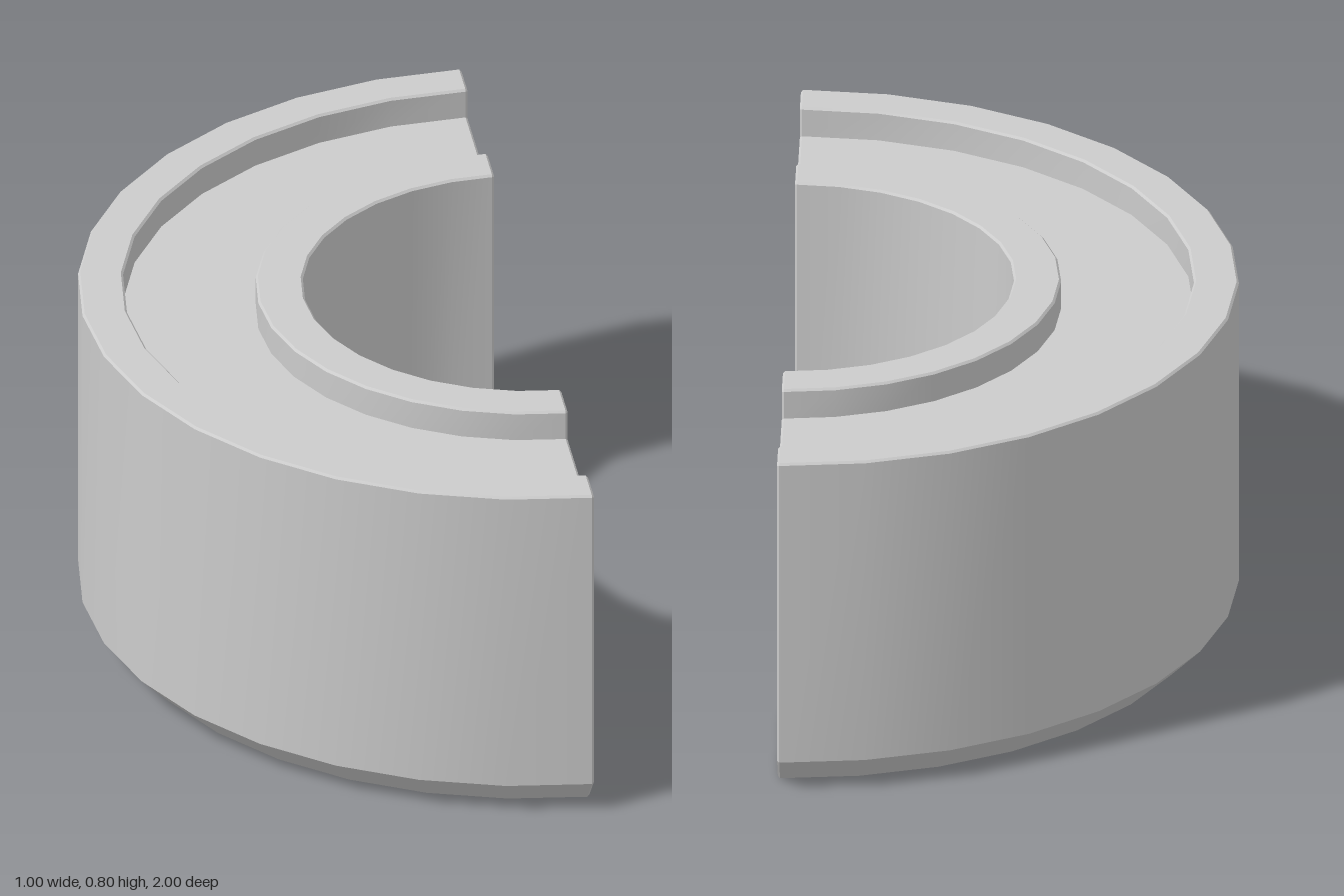
import * as THREE from 'three';
import { toCreasedNormals } from 'three/addons/utils/BufferGeometryUtils.js';

const BEVEL = 0.005, CHAMFER = 0.07, HEIGHT = 0.8, FLOOR = 0.73, STEPS = 16, CENTRE = 0.5;

// Ring cross-section as [radius, y], counter-clockwise
function ringProfile() {
  const rim = (inner, outer) => [
    [outer, HEIGHT - BEVEL], [outer - BEVEL, HEIGHT],
    [inner + BEVEL, HEIGHT], [inner, HEIGHT - BEVEL],
  ];
  return [
    [0.5 + CHAMFER, 0], [1 - CHAMFER, 0], [1, CHAMFER],
    ...rim(0.9, 1), [0.9, FLOOR], [0.605, FLOOR], ...rim(0.5, 0.605),
    [0.5, CHAMFER],
  ].map(([r, y]) => new THREE.Vector2(r, y));
}

// Move every edge of a counter-clockwise outline inwards by d
function inset(points, d) {
  const n = points.length;
  const normal = (a, b) => new THREE.Vector2(a.y - b.y, b.x - a.x).normalize();
  return points.map((p, i) => {
    const n1 = normal(points[(i + n - 1) % n], p);
    const n2 = normal(p, points[(i + 1) % n]);
    return n1.clone().add(n2).multiplyScalar(d / (1 + n1.dot(n2))).add(p);
  });
}

function halfRingGeometry() {
  const profile = ringProfile(), small = inset(profile, BEVEL), n = profile.length;
  const positions = [], index = [];

  // Cross-sections: bevelled cut end, half-turn sweep, bevelled cut end
  const flat = (pts, x, side) => pts.forEach(p => positions.push(x, p.y, side * p.x));
  flat(small, CENTRE, 1);
  flat(profile, CENTRE - BEVEL, 1);
  for (let k = 1; k < STEPS; k++) {
    const a = Math.PI * k / STEPS;
    profile.forEach(p => positions.push(CENTRE - p.x * Math.sin(a), p.y, p.x * Math.cos(a)));
  }
  flat(profile, CENTRE - BEVEL, -1);
  flat(small, CENTRE, -1);

  // Skin between neighbouring sections
  const last = STEPS + 2;
  for (let s = 0; s < last; s++) {
    for (let i = 0; i < n; i++) {
      const j = (i + 1) % n, a = s * n + i, b = s * n + j;
      index.push(a, b, a + n, b, b + n, a + n);
    }
  }

  // Flat cut faces
  for (const [a, b, c] of THREE.ShapeUtils.triangulateShape(small, [])) {
    index.push(a, c, b, last * n + a, last * n + b, last * n + c);
  }

  const geometry = new THREE.BufferGeometry();
  geometry.setAttribute('position', new THREE.Float32BufferAttribute(positions, 3));
  geometry.setIndex(index);
  return toCreasedNormals(geometry, 0.4);
}

export function createModel() {
  const group = new THREE.Group();
  group.name = 'groovedHalfRing';
  const ring = new THREE.Mesh(halfRingGeometry(), new THREE.MeshStandardMaterial({ color: 0xcccccc }));
  ring.name = 'halfRing';
  group.add(ring);
  return group;
}
